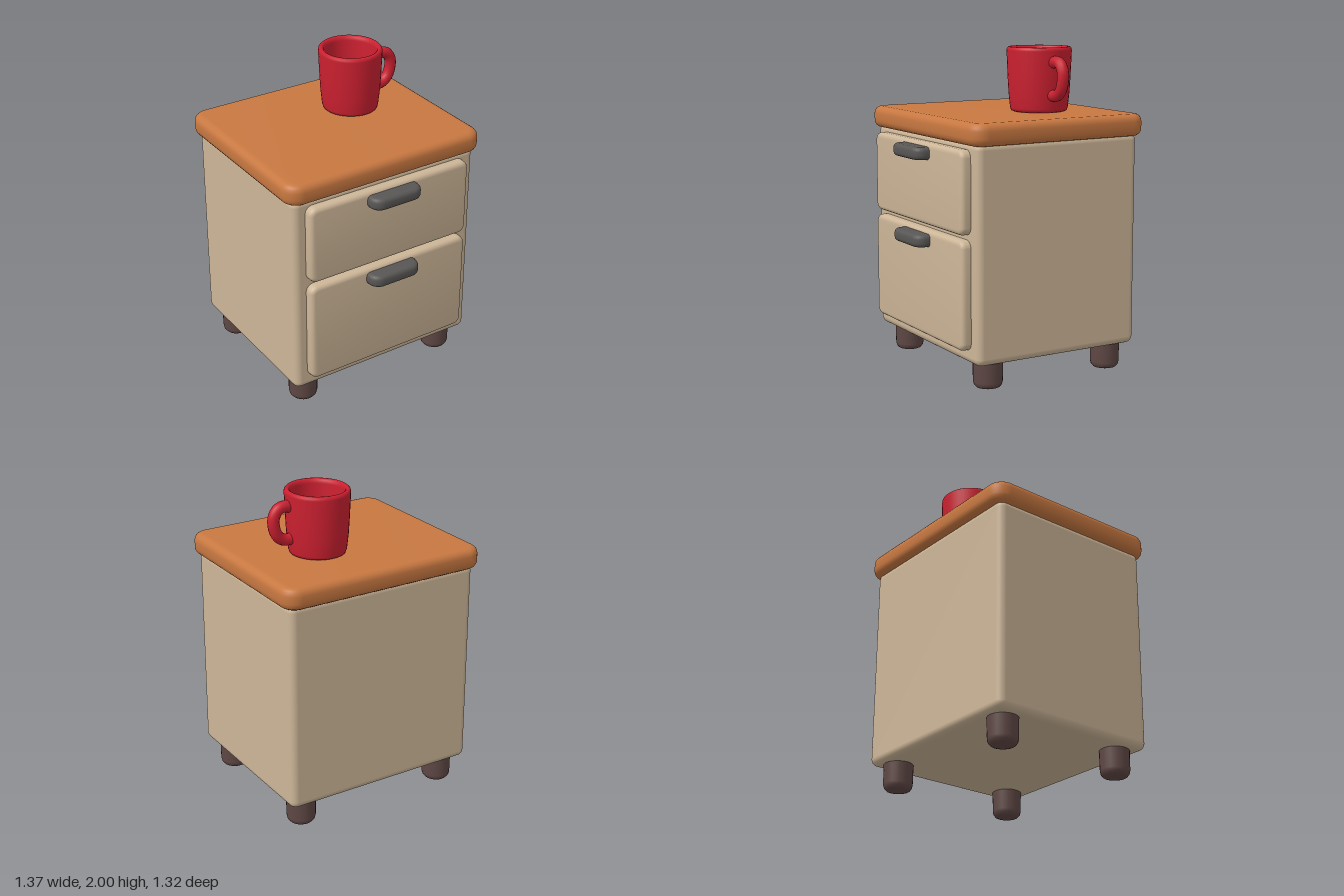
import * as THREE from 'three';
import { toCreasedNormals } from 'three/addons/utils/BufferGeometryUtils.js';
import { RoundedBoxGeometry } from 'three/addons/geometries/RoundedBoxGeometry.js';

const mat = (name, color) => new THREE.MeshStandardMaterial({ name, color });

// Rounded slab centred on the origin: w by h outline, depth d along z
function slab(w, h, d, corner, bevel) {
  const x = w / 2 - bevel, y = h / 2 - bevel, r = corner - bevel;
  const s = new THREE.Shape();
  s.absarc(x - r, y - r, r, 0, Math.PI / 2);
  s.absarc(-x + r, y - r, r, Math.PI / 2, Math.PI);
  s.absarc(-x + r, -y + r, r, Math.PI, Math.PI * 1.5);
  s.absarc(x - r, -y + r, r, Math.PI * 1.5, Math.PI * 2);
  s.closePath();
  const g = new THREE.ExtrudeGeometry(s, {
    depth: d - 2 * bevel, bevelThickness: bevel, bevelSize: bevel, bevelSegments: 4, curveSegments: 6,
  });
  g.translate(0, 0, bevel - d / 2);
  return toCreasedNormals(g, 0.7);
}

const points = (list) => list.map(([x, y]) => new THREE.Vector2(x, y));

export function createModel() {
  const group = new THREE.Group();
  const cream = mat('cream paint', 0xcdb698);
  const wood = mat('orange wood', 0xc87841);
  const red = mat('red glaze', 0xcc2030);
  const brown = mat('dark brown wood', 0x5f4845);
  const grey = mat('dark grey metal', 0x595755);

  function add(name, geometry, material, x, y, z, parent = group) {
    const mesh = new THREE.Mesh(geometry, material);
    mesh.name = name;
    mesh.position.set(x, y, z);
    parent.add(mesh);
    return mesh;
  }

  // Cabinet and table top
  add('cabinet', new RoundedBoxGeometry(1.29, 1.32, 1.125, 4, 0.045), cream, 0, 0.825, -0.053);
  const top = slab(1.372, 1.21, 0.135, 0.1, 0.045).rotateX(-Math.PI / 2);
  add('tableTop', top, wood, 0, 1.5325, -0.055);

  // Drawers, each with a pull near its upper edge
  const pull = slab(0.35, 0.17, 0.078, 0.07, 0.026).rotateX(-Math.PI / 2);
  for (const [name, low, high] of [['lower', 0.25, 0.91], ['upper', 0.94, 1.44]]) {
    add(name + 'Drawer', slab(1.13, high - low, 0.1, 0.05, 0.028), cream, 0, (low + high) / 2, 0.52);
    add(name + 'DrawerPull', pull, grey, 0, high - 0.06, 0.575);
  }

  // Four stubby legs with rounded feet
  const leg = new THREE.LatheGeometry(points([
    [0, 0], [0.055, 0], [0.073, 0.006], [0.085, 0.02], [0.09, 0.04], [0.092, 0.19],
  ]), 24);
  for (const x of [-0.51, 0.51])
    for (const z of [0.365, -0.485]) add('leg', leg, brown, x, 0, z);

  // Mug: a hollow lathe with a soft rim, and a looped handle
  const mug = new THREE.Group();
  mug.name = 'mug';
  mug.position.set(0.2, 1.6, -0.185);
  group.add(mug);
  const cup = new THREE.LatheGeometry(points([
    [0, 0.002], [0.155, 0.002], [0.168, 0.008], [0.174, 0.025], [0.184, 0.12], [0.19, 0.23],
    [0.196, 0.375], [0.194, 0.389], [0.185, 0.398], [0.174, 0.398], [0.164, 0.389],
    [0.159, 0.37], [0.15, 0.1], [0.142, 0.07], [0.125, 0.06], [0, 0.06],
  ]), 40);
  add('cup', cup, red, 0, 0, 0, mug).scale.z = 1.035;

  const loop = new THREE.CatmullRomCurve3([
    [0.17, 0.305], [0.215, 0.315], [0.26, 0.302], [0.287, 0.26],
    [0.288, 0.2], [0.267, 0.145], [0.225, 0.112], [0.165, 0.108],
  ].map(([x, y]) => new THREE.Vector3(x, y, 0)));
  add('mugHandle', new THREE.TubeGeometry(loop, 32, 0.036, 12), red, 0, 0, 0.015, mug);

  return group;
}
